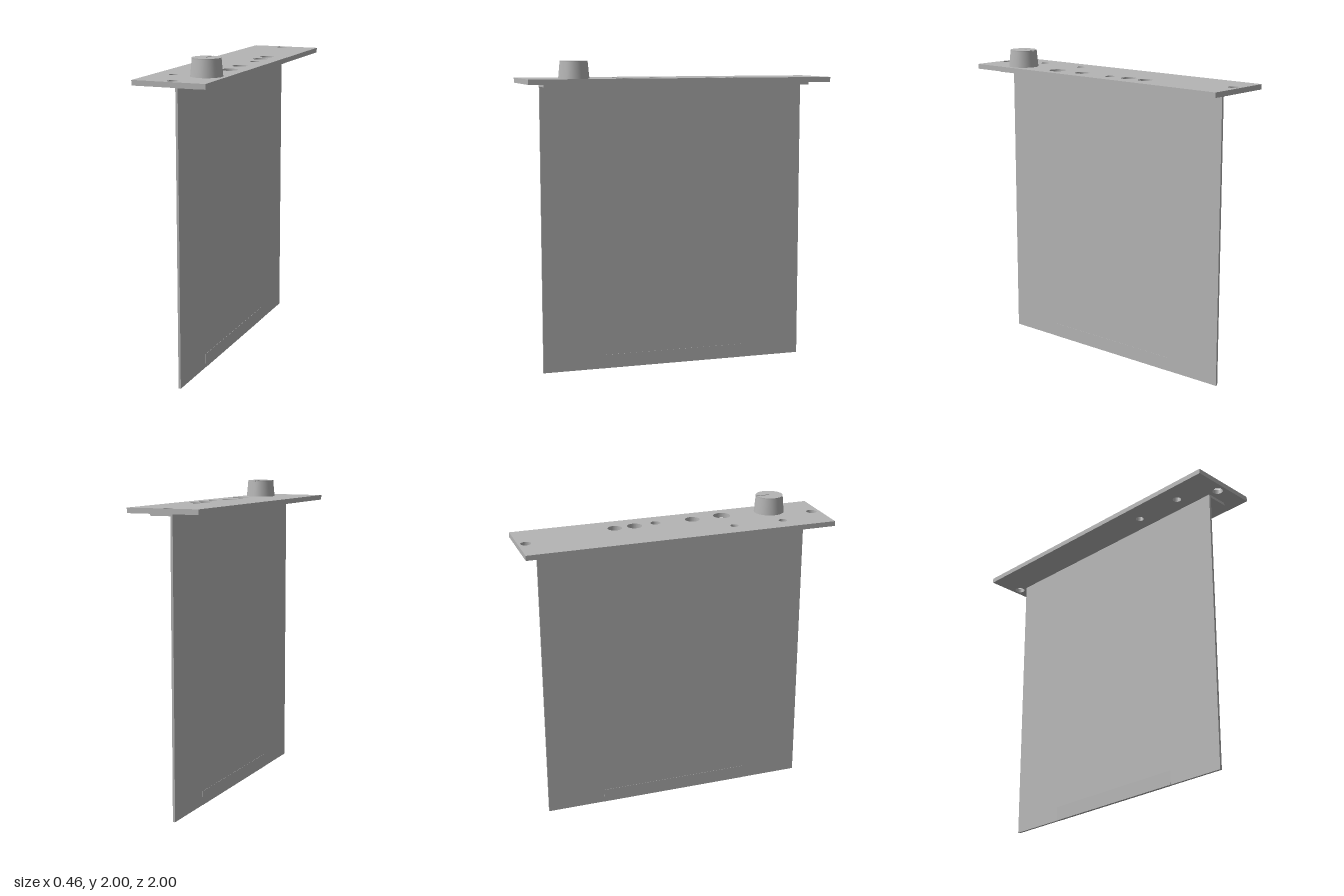
import * as THREE from 'three';

// Extrudes a plan shape (x, -z) upwards from height y
function slab(shape, y, height) {
  const geometry = new THREE.ExtrudeGeometry(shape, { depth: height, bevelEnabled: false, curveSegments: 32 });
  geometry.rotateX(-Math.PI / 2);
  geometry.translate(0, y, 0);
  return geometry;
}

export function createModel() {
  const group = new THREE.Group();
  const grey = new THREE.MeshStandardMaterial({ color: 0xb4b4b4 });
  grey.name = 'grey metal';

  const add = (name, geometry, x = 0, y = 0, z = 0) => {
    const mesh = new THREE.Mesh(geometry, grey);
    mesh.name = name;
    mesh.position.set(x, y, z);
    group.add(mesh);
  };

  // Faceplate with drilled holes: x, z, radius
  const holes = [
    [-0.015, -0.95, 0.033], [0.005, 0.945, 0.033],
    [0.092, -0.36, 0.045], [0.095, -0.23, 0.048], [0.11, -0.088, 0.032],
    [0.103, 0.158, 0.047], [0.115, 0.363, 0.055],
    [-0.105, 0.363, 0.026], [-0.105, 0.695, 0.027],
  ];
  const plate = new THREE.Shape();
  plate.moveTo(-0.23, -1).lineTo(0.23, -1).lineTo(0.23, 1).lineTo(-0.23, 1).closePath();
  for (const [x, z, r] of holes) {
    plate.holes.push(new THREE.Path().absarc(x, -z, r, 0, Math.PI * 2, true));
  }
  add('faceplate', slab(plate, 1.858, 0.032));

  // Circuit board, edge connector and mounting flange
  add('circuitBoard', new THREE.BoxGeometry(0.015, 1.855, 1.77), 0, 0.9275, 0);
  add('edgeConnector', new THREE.BoxGeometry(0.018, 0.09, 1), 0, 0.045, 0);
  add('mountingFlange', new THREE.BoxGeometry(0.145, 0.018, 1.77), 0.0675, 1.848, 0);

  // Tapered knob, capped by a disc with a pointer slot towards the back
  const kx = 0.105, kz = 0.687, topRadius = 0.087;
  add('knobBody', new THREE.CylinderGeometry(topRadius, 0.097, 0.104, 48), kx, 1.942, kz);
  const halfSlot = 0.005;
  const a = Math.asin(halfSlot / topRadius);
  const cap = new THREE.Shape();
  cap.moveTo(halfSlot, 0);
  cap.lineTo(halfSlot, topRadius * Math.cos(a));
  cap.absarc(0, 0, topRadius, Math.PI / 2 - a, Math.PI / 2 + a - Math.PI * 2, true);
  cap.lineTo(-halfSlot, 0);
  cap.closePath();
  add('knobCap', slab(cap, 1.994, 0.006), kx, 0, kz);

  return group;
}
